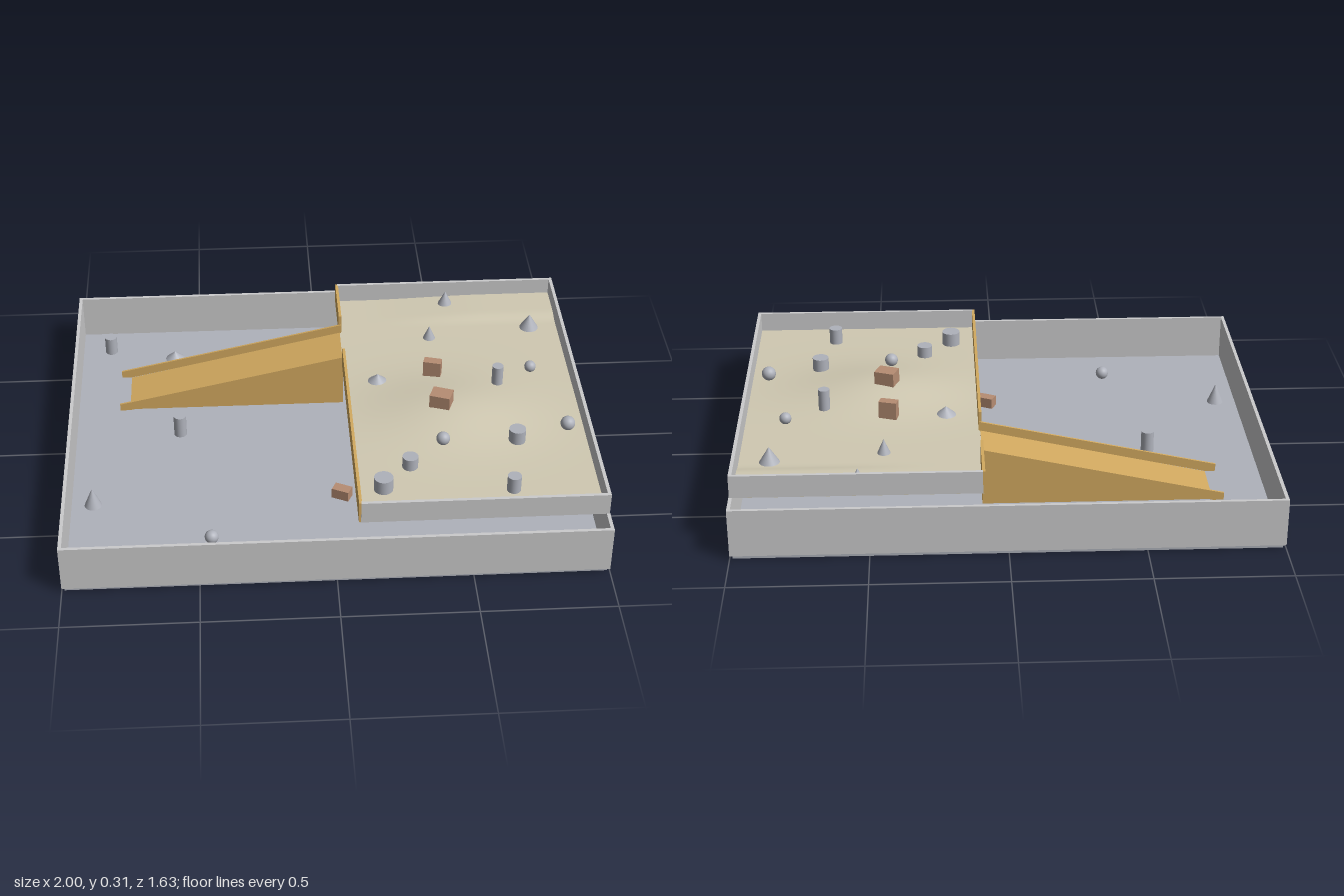
import * as THREE from 'three';

const mat = (name, color, extra = {}) => {
  const m = new THREE.MeshStandardMaterial({ color, ...extra });
  m.name = name;
  return m;
};

// Height of the sandy ground on the upper level
function groundHeight(x, z) {
  const mound = 0.045 * Math.exp(-(((x - 0.48) / 0.3) ** 2) - ((z - 0.1) / 0.22) ** 2);
  const ledge = 0.012 * THREE.MathUtils.smoothstep(x, 0.2, 0.7) * (1 - THREE.MathUtils.smoothstep(z, -0.57, -0.51));
  return 0.213 + mound + ledge;
}

export function createModel() {
  const root = new THREE.Group();
  root.name = 'twoLevelTerrain';
  const wallMat = mat('wall grey', 0xcbcbcc);
  const stone = mat('stone grey', 0xafb2bb);
  const sand = mat('sand', 0xd0c9b2);
  const wood = mat('wood', 0xd3aa60);
  const brick = mat('brick brown', 0xb68d73);

  const add = (name, geo, material, x = 0, y = 0, z = 0) => {
    const m = new THREE.Mesh(geo, material);
    m.name = name;
    m.position.set(x, y, z);
    root.add(m);
    return m;
  };
  // Box given by its limits
  const span = (name, material, x0, x1, y0, y1, z0, z1) =>
    add(name, new THREE.BoxGeometry(x1 - x0, y1 - y0, z1 - z0), material, (x0 + x1) / 2, (y0 + y1) / 2, (z0 + z1) / 2);

  // Lower tray
  const T = 0.013;
  span('lowerFloor', stone, -0.99, 0.99, 0, 0.02, -0.805, 0.805);
  for (const s of [-1, 1]) {
    const zc = s * (0.815 - T / 2), xc = s * (1 - T / 2);
    span('lowerLongWall', wallMat, -1, 1, 0.015, 0.2, zc - T / 2, zc + T / 2);
    span('lowerSideWall', wallMat, xc - T / 2, xc + T / 2, 0.015, 0.2, -0.815 + T, 0.815 - T);
  }

  // Upper tray, with an opening on the left edge for the ramp
  const X0 = 0.082, X1 = 0.997, Z = 0.725;
  span('upperFloor', sand, X0 + 0.003, X1 - 0.003, 0.201, 0.209, -Z + 0.003, Z - 0.003);
  span('upperFrontWall', wallMat, X0 + 0.008, X1, 0.203, 0.29, Z - T, Z);
  span('upperBackWall', wallMat, X0 + 0.008, X1, 0.203, 0.29, -Z, -Z + T);
  span('upperSideWall', wallMat, X1 - T, X1, 0.203, 0.29, -Z + T, Z - T);
  span('woodEdgeFront', wood, X0, X0 + 0.011, 0.203, 0.29, -0.25, Z - 0.002);
  span('woodEdgeBack', wood, X0, X0 + 0.011, 0.203, 0.29, -Z + 0.002, -0.48);

  // Rolling ground
  const gx0 = X0 + 0.006, gx1 = X1 - T, gz = Z - T;
  const ground = new THREE.PlaneGeometry(gx1 - gx0, 2 * gz, 48, 72);
  ground.rotateX(-Math.PI / 2);
  ground.translate((gx0 + gx1) / 2, 0, 0);
  const p = ground.attributes.position;
  for (let i = 0; i < p.count; i++) p.setY(i, groundHeight(p.getX(i), p.getZ(i)));
  ground.computeVertexNormals();
  add('sandyGround', ground, sand);

  // Ramp wedge and its two rails
  const slab = (pts, depth) => new THREE.ExtrudeGeometry(
    new THREE.Shape(pts.map(([x, y]) => new THREE.Vector2(x, y))), { depth, bevelEnabled: false });
  add('ramp', slab([[-0.78, 0.02], [0.086, 0.02], [0.086, 0.214]], 0.22), wood, 0, 0, -0.475);
  const rail = [[-0.82, 0.021], [-0.78, 0.021], [0.092, 0.212], [0.092, 0.251], [-0.82, 0.05]];
  for (const z of [-0.483, -0.255]) add('rampRail', slab(rail, 0.008), wood, 0, 0, z);

  // Scattered obstacles: [x, z, radius, height]
  const baseAt = (x, z) => (x > 0.09 ? groundHeight(x, z) - 0.003 : 0.02);
  const cylinders = [
    [-0.87, -0.67, 0.025, 0.075], [-0.575, -0.08, 0.025, 0.09], [0.685, -0.07, 0.022, 0.085],
    [0.715, 0.295, 0.032, 0.055], [0.295, 0.425, 0.03, 0.05], [0.185, 0.55, 0.036, 0.058], [0.665, 0.58, 0.026, 0.068],
  ];
  for (const [x, z, r, h] of cylinders)
    add('cylinderObstacle', new THREE.CylinderGeometry(r, r, h, 24), stone, x, baseAt(x, z) + h / 2, z);

  const cones = [
    [-0.6, -0.605, 0.04, 0.035], [-0.905, 0.35, 0.033, 0.08], [0.54, -0.66, 0.03, 0.06],
    [0.87, -0.475, 0.04, 0.065], [0.45, -0.42, 0.026, 0.06], [0.215, -0.12, 0.04, 0.035],
  ];
  for (const [x, z, r, h] of cones)
    add('coneObstacle', new THREE.ConeGeometry(r, h, 24), stone, x, baseAt(x, z) + h / 2, z);

  const balls = [[-0.455, 0.59, 0.026], [0.83, -0.165, 0.023], [0.92, 0.225, 0.028], [0.43, 0.31, 0.026]];
  for (const [x, z, r] of balls)
    add('ballObstacle', new THREE.SphereGeometry(r, 24, 16), stone, x, baseAt(x, z) + r, z);

  // Blocks: [x, z, width, height, depth, turn]
  const blocks = [
    [0.435, -0.145, 0.07, 0.07, 0.037, -0.27], [0.445, 0.095, 0.08, 0.055, 0.065, -0.36], [0.045, 0.35, 0.068, 0.042, 0.042, -0.45],
  ];
  for (const [x, z, w, h, d, turn] of blocks)
    add('block', new THREE.BoxGeometry(w, h, d), brick, x, baseAt(x, z) + h / 2, z).rotation.y = turn;

  return root;
}
